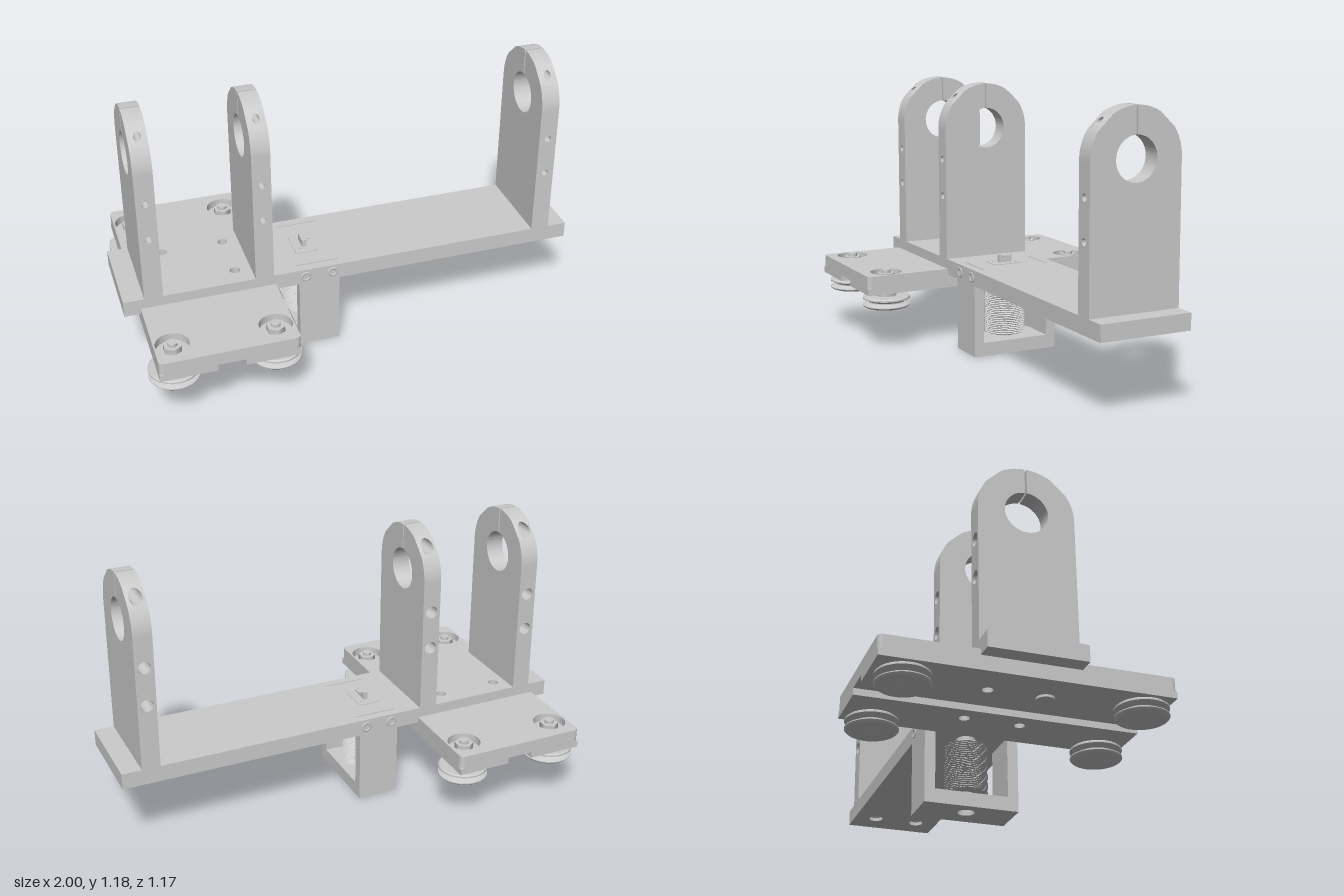
import * as THREE from 'three';
import { mergeGeometries, toCreasedNormals } from 'three/addons/utils/BufferGeometryUtils.js';

const mat = new THREE.MeshStandardMaterial({ color: 0xcccccc });

function add(parent, name, geo, x = 0, y = 0, z = 0) {
  const m = new THREE.Mesh(geo, mat);
  m.name = name;
  m.position.set(x, y, z);
  parent.add(m);
  return m;
}

function rect(x0, y0, x1, y1, r = 0) {
  const s = new THREE.Shape();
  if (!r) {
    s.moveTo(x0, y0).lineTo(x1, y0).lineTo(x1, y1).lineTo(x0, y1).closePath();
    return s;
  }
  s.absarc(x1 - r, y1 - r, r, 0, Math.PI / 2);
  s.absarc(x0 + r, y1 - r, r, Math.PI / 2, Math.PI);
  s.absarc(x0 + r, y0 + r, r, Math.PI, Math.PI * 1.5);
  s.absarc(x1 - r, y0 + r, r, Math.PI * 1.5, Math.PI * 2);
  return s;
}

function punch(shape, x, y, r) {
  shape.holes.push(new THREE.Path().absarc(x, y, r, 0, Math.PI * 2, true));
}

// Flat slab in plan, from y0 to y1, with round holes [x, z, r]
function slab(x0, x1, hz, y0, y1, holes = [], r = 0, slots = []) {
  const s = rect(x0, -hz, x1, hz, r);
  holes.forEach(([x, z, q]) => punch(s, x, -z, q));
  slots.forEach((p) => s.holes.push(p));
  return new THREE.ExtrudeGeometry(s, { depth: y1 - y0, bevelEnabled: false, curveSegments: 16 })
    .rotateX(-Math.PI / 2).translate(0, y0, 0);
}

const cyl = (r0, r1, h, n = 32) => new THREE.CylinderGeometry(r0, r1, h, n);

// Half of a clamp upright, built in height bands so cross holes can be cut
const YC = 0.978, R = 0.2, BORE = 0.09, SLIT = 0.004, BASE = 0.39;
const HOLES = [0.675, 0.842, 1.12];
function uprightHalf(holeR) {
  const levels = [BASE, YC];
  for (const h of HOLES) levels.push(h - 0.03, h + 0.03);
  for (let i = 0; i <= 24; i++) levels.push(YC - BORE * Math.cos(i * Math.PI / 24));
  for (let i = 1; i <= 20; i++) levels.push(YC + R * Math.sin(i * Math.PI / 40));
  const ys = levels.filter((y) => !HOLES.some((h) => Math.abs(y - h) < 0.0299))
    .sort((a, b) => a - b).filter((y, i, a) => !i || y - a[i - 1] > 1e-4);
  const inner = (y) => {
    const d = y - YC;
    const low = d > -BORE + 1e-6 ? SLIT : 0;
    return Math.max(low, Math.sqrt(Math.max(0, BORE * BORE - d * d)));
  };
  const outer = (y) => Math.max(SLIT + 0.001, Math.sqrt(Math.max(0, R * R - Math.max(0, y - YC) ** 2)));
  const bands = [];
  for (let i = 0; i + 1 < ys.length; i++) {
    const s = rect(-0.04, ys[i], 0.04, ys[i + 1]);
    const h = HOLES.find((v) => v > ys[i] && v < ys[i + 1]);
    if (h) punch(s, 0, h, holeR);
    const g = new THREE.ExtrudeGeometry(s, { depth: 1, bevelEnabled: false, curveSegments: 12 });
    const p = g.attributes.position;
    for (let k = 0; k < p.count; k++) {
      const y = p.getY(k);
      p.setZ(k, p.getZ(k) > 0.5 ? outer(y) : inner(y));
    }
    bands.push(g);
  }
  return toCreasedNormals(mergeGeometries(bands), 0.5);
}

// V-groove wheel with its axle, spacer and nut; origin on the axle at y = 0
function wheel() {
  const g = new THREE.Group();
  g.name = 'wheel';
  const pts = [[0, 0.18], [0.03, 0.183], [0.045, 0.188], [0.085, 0.185], [0.1, 0.19], [0.106, 0.196],
    [0.106, 0.2], [0.08, 0.21], [0.08, 0.214], [0.106, 0.226], [0.106, 0.233], [0.1, 0.238], [0, 0.238]];
  const lathe = new THREE.LatheGeometry(pts.map((p) => new THREE.Vector2(...p)), 48);
  add(g, 'grooveWheel', toCreasedNormals(lathe, 0.4));
  add(g, 'spacer', cyl(0.05, 0.05, 0.03, 6), 0, 0.247, 0);
  add(g, 'washer', cyl(0.062, 0.062, 0.006), 0, 0.313, 0);
  add(g, 'nut', cyl(0.04, 0.04, 0.026, 6), 0, 0.328, 0);
  add(g, 'bolt', cyl(0.02, 0.02, 0.05, 20), 0, 0.33, 0);
  return g;
}

export function createModel() {
  const root = new THREE.Group();
  root.name = 'railCarriage';
  const through = [[-0.775, -0.12, 0.022], [-0.505, -0.12, 0.022], [-0.505, 0.11, 0.022]];

  // Long beam: upper layer with marking slots, lower layer with screw recesses
  const slots = [-0.158, 0.158].map((z) => rect(-0.25, z - 0.003, -0.065, z + 0.003));
  const recesses = [-0.1, 0.1].map((z) => [0.875, z, 0.033]);
  add(root, 'beamTop', slab(-1, 1, 0.2, 0.345, 0.39, through, 0, slots));
  add(root, 'beamBottom', slab(-1, 1, 0.2, 0.32, 0.345, [...through, ...recesses]));
  for (const z of [-0.1, 0.1]) {
    add(root, 'beamScrew', new THREE.TorusGeometry(0.018, 0.008, 8, 24).rotateX(Math.PI / 2), 0.875, 0.338, z);
  }

  // Wheel plate with nut recesses on top and a cross groove underneath
  const axles = [];
  for (const x of [-0.853, -0.425]) for (const z of [-0.47, 0.47]) axles.push([x, z, 0.07]);
  add(root, 'plateTop', slab(-0.93, -0.348, 0.585, 0.31, 0.345, [...through, ...axles], 0.02));
  add(root, 'plateMiddle', slab(-0.93, -0.348, 0.585, 0.288, 0.31, through, 0.02));
  add(root, 'plateRailRight', slab(-0.93, -0.695, 0.585, 0.26, 0.288, through.slice(0, 1)));
  add(root, 'plateRailLeft', slab(-0.58, -0.348, 0.585, 0.26, 0.288, through.slice(1)));
  add(root, 'plateScrew', cyl(0.037, 0.037, 0.012), -0.775, 0.256, 0.11);
  for (const [x, z] of axles) {
    const w = wheel();
    w.position.set(x, 0, z);
    root.add(w);
  }

  // Three split clamp uprights
  const front = uprightHalf(0.015);
  const back = uprightHalf(0.027).rotateY(Math.PI);
  for (const x of [-0.872, -0.396, 0.875]) {
    const u = new THREE.Group();
    u.name = 'clampUpright';
    u.position.x = x;
    add(u, 'uprightFront', front);
    add(u, 'uprightBack', back);
    root.add(u);
  }

  // Hanging bracket: two side walls and a drilled floor
  const bx = -0.155;
  for (const s of [-1, 1]) {
    add(root, 'bracketWall', new THREE.BoxGeometry(0.18, 0.32, 0.045), bx, 0.16, s * 0.1775);
    // Screws through the beam edges
    for (const x of [-0.215, -0.095]) {
      add(root, 'edgeScrew', new THREE.TorusGeometry(0.018, 0.006, 8, 24), x, 0.355, s * 0.198);
    }
  }
  add(root, 'bracketFloor', slab(-0.245, -0.065, 0.156, 0, 0.06, [[-0.17, 0, 0.035]]));

  // Toothed roller: stacked ridges broken by helical flutes
  const roller = new THREE.CylinderGeometry(0.09, 0.09, 0.21, 120, 50);
  const p = roller.attributes.position;
  for (let i = 0; i < p.count; i++) {
    const x = p.getX(i), y = p.getY(i), z = p.getZ(i), r = Math.hypot(x, z);
    if (r < 0.01) continue;
    const row = Math.round((y + 0.105) / 0.0042);
    const flute = Math.cos(12 * Math.atan2(x, z) - y * 150);
    const k = (0.0835 + (row % 2 ? 0.0065 : 0) - (flute < -0.3 ? 0.004 : 0)) / r;
    p.setXYZ(i, x * k, y, z * k);
  }
  add(root, 'roller', toCreasedNormals(roller, 0.3), -0.173, 0.18, 0);
  add(root, 'rollerShaft', cyl(0.04, 0.04, 0.29), -0.173, 0.185, 0);

  // Small switch on top of the beam
  add(root, 'switchPlate', slab(-0.222, -0.125, 0.072, 0.388, 0.393, [[-0.195, 0.045, 0.008], [-0.15, -0.045, 0.008]], 0.012));
  add(root, 'switchBody', new THREE.BoxGeometry(0.02, 0.035, 0.06), -0.173, 0.408, 0);
  add(root, 'switchLever', new THREE.BoxGeometry(0.036, 0.006, 0.035), -0.163, 0.422, 0);
  return root;
}
